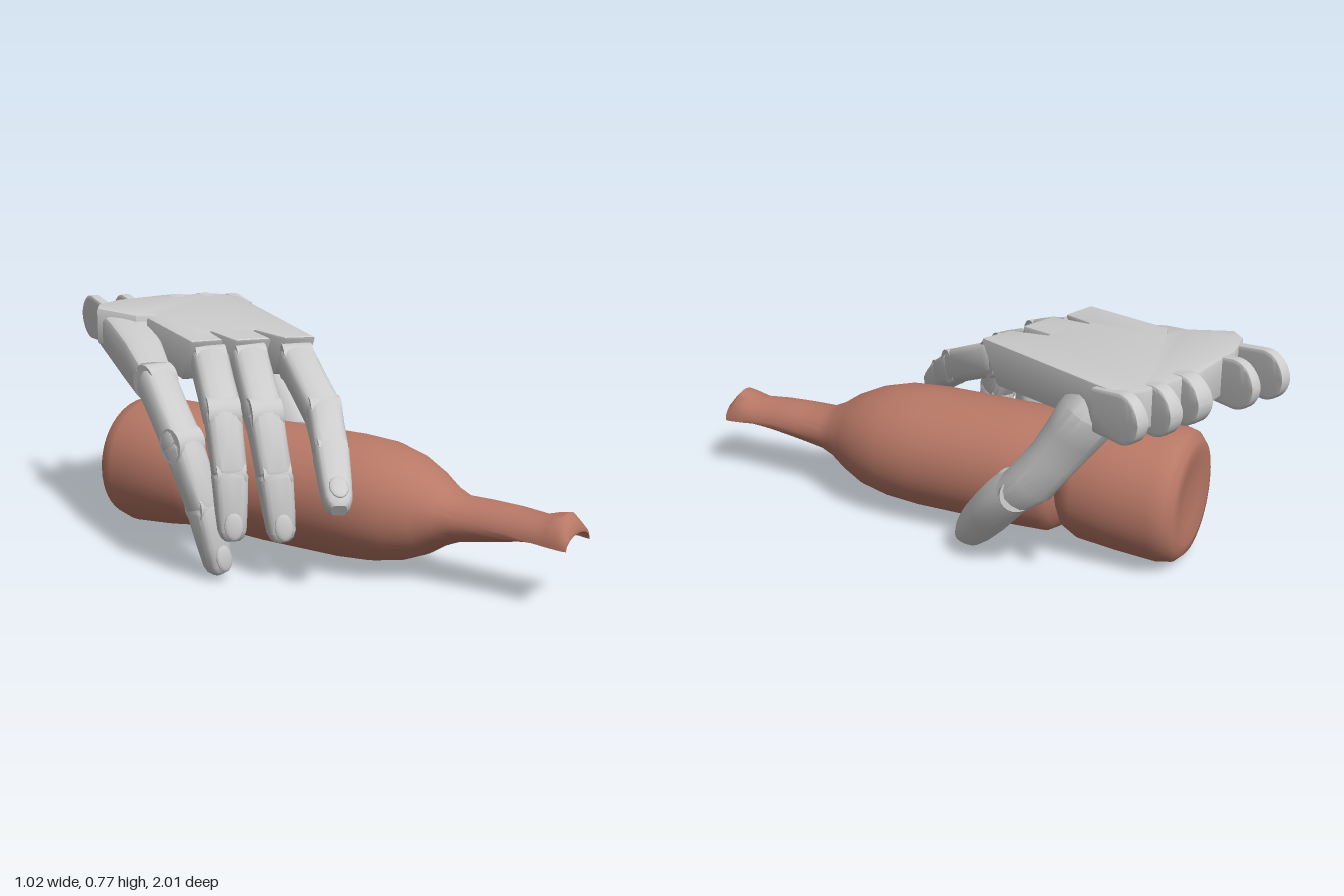
import * as THREE from 'three';
import { toCreasedNormals } from 'three/addons/utils/BufferGeometryUtils.js';

const V = (x, y, z) => new THREE.Vector3(x, y, z);
const grey = new THREE.MeshStandardMaterial({ color: 0xcccccc });
const clay = new THREE.MeshStandardMaterial({ color: 0xb87866 });
const ACROSS = V(0.9, 0, 0.43).normalize();
const FORWARD = V(-0.43, -0.07, 0.9).normalize();

function add(parent, name, geometry, material = grey) {
  const mesh = new THREE.Mesh(geometry, material);
  mesh.name = name;
  parent.add(mesh);
  return mesh;
}

// Skin over cross-sections [x, y, z, halfWidth, halfHeight, lowerHalfScale].
// "power" shapes the section: 1 is an ellipse, near 0 a box.
// Sections stand square to the path, or to a fixed axis when one is given.
function loft(sections, side, { n = 16, power = 0.6, crease = 0.6, axis } = {}) {
  const pos = [], index = [];
  const centres = sections.map(s => V(s[0], s[1], s[2]));
  const last = sections.length - 1;
  const soft = v => Math.sign(v) * Math.abs(v) ** power;
  sections.forEach(([, , , w, h, low = 1], j) => {
    const t = axis ?? centres[Math.min(j + 1, last)].clone().sub(centres[Math.max(j - 1, 0)]).normalize();
    const s = side.clone().addScaledVector(t, -side.dot(t)).normalize();
    const d = t.clone().cross(s);
    for (let i = 0; i < n; i++) {
      const a = (i / n) * Math.PI * 2;
      const up = soft(Math.sin(a)) * h * (i > n / 2 ? low : 1);
      pos.push(...centres[j].clone().addScaledVector(s, soft(Math.cos(a)) * w).addScaledVector(d, up).toArray());
      if (j < last) {
        const k = (i + 1) % n, p = j * n, q = p + n;
        index.push(p + i, p + k, q + k, p + i, q + k, q + i);
      }
    }
  });
  // Flat end caps, made of strips between upper and lower halves
  for (let i = 0; i < n / 2; i++) {
    const a = i, b = i + 1, c = n - i - 1, d = (n - i) % n, o = last * n;
    index.push(o + a, o + b, o + c, o + a, o + c, o + d, c, b, a, d, c, a);
  }
  const g = new THREE.BufferGeometry();
  g.setAttribute('position', new THREE.Float32BufferAttribute(pos, 3));
  g.setIndex(index);
  return toCreasedNormals(g, crease);
}

// One finger bone from a to b, with softened ends and an optional rounded tip
function bone(a, b, w0, h0, w1, h1, side, tip = false) {
  const stops = tip
    ? [[-0.06, 0.85], [0.03, 1], [0.55, 1], [0.85, 0.96], [0.95, 0.8], [1, 0.55]]
    : [[-0.07, 0.85], [0.02, 1], [0.5, 0.98], [0.98, 1], [1.07, 0.85]];
  return loft(stops.map(([t, k]) => {
    const p = a.clone().lerp(b, t);
    return [p.x, p.y, p.z, k * (w0 + (w1 - w0) * t), k * (h0 + (h1 - h0) * t)];
  }), side);
}

function hinge(parent, name, p, side, radius, width) {
  const pin = add(parent, name, new THREE.CylinderGeometry(radius, radius, width, 20));
  pin.position.copy(p);
  pin.quaternion.setFromUnitVectors(V(0, 1, 0), side);
}

function nail(parent, a, b, side) {
  const t = b.clone().sub(a).normalize();
  const d = t.clone().cross(side).normalize();
  const s = d.clone().cross(t);
  const mesh = add(parent, 'nail', new THREE.SphereGeometry(1, 14, 8));
  mesh.scale.set(0.03, 0.01, 0.045);
  mesh.quaternion.setFromRotationMatrix(new THREE.Matrix4().makeBasis(s, d, t));
  mesh.position.copy(a).lerp(b, 0.76).addScaledVector(d, 0.042);
}

function finger(name, joints, size) {
  const group = new THREE.Group();
  group.name = name;
  const [k, p, d, t] = joints.map(j => V(...j));
  const side = V(t.z - k.z, 0, k.x - t.x).normalize();
  add(group, 'proximal', bone(k, p, 0.062 * size, 0.06 * size, 0.06 * size, 0.058 * size, side));
  add(group, 'middleBone', bone(p, d, 0.058 * size, 0.058 * size, 0.054 * size, 0.052 * size, side));
  add(group, 'fingertip', bone(d, t, 0.056 * size, 0.053 * size, 0.044 * size, 0.04 * size, side, true));
  hinge(group, 'knuckle', k, side, 0.06 * size, 0.1 * size);
  hinge(group, 'middleHinge', p, side, 0.057 * size, 0.1 * size);
  hinge(group, 'endHinge', d, side, 0.048 * size, 0.09 * size);
  nail(group, d, t, side);
  return group;
}

const palmTop = z => 0.7 - 0.08 * (z + 0.05);

function buildPalm(hand) {
  // Sloping slab with slits between the knuckles
  const outline = [
    [-0.13, -0.78], [-0.08, -0.82], [0.03, -0.83], [0.22, -0.79], [0.4, -0.69], [0.445, -0.63],
    [0.11, -0.05], [0.03, -0.1], [0.045, -0.24], [0.02, -0.24], [-0.03, -0.13], [-0.13, -0.18],
    [-0.09, -0.32], [-0.11, -0.32], [-0.17, -0.22], [-0.26, -0.26], [-0.11, -0.57], [-0.05, -0.59], [-0.11, -0.63],
  ];
  const shape = new THREE.Shape(outline.map(([x, z]) => new THREE.Vector2(x, -z)));
  const g = new THREE.ExtrudeGeometry(shape, {
    depth: 0.11, bevelEnabled: true, bevelSize: 0.008, bevelThickness: 0.008, bevelSegments: 2,
  });
  g.rotateX(-Math.PI / 2);
  // Deepen the slab towards the knuckles and set its underside back there
  const p = g.attributes.position;
  for (let i = 0; i < p.count; i++) {
    const x = p.getX(i), z = p.getZ(i), depth = 0.118 - p.getY(i);
    const front = THREE.MathUtils.clamp((z + 0.6) / 0.35, 0, 1);
    const back = front * depth * 0.65;
    p.setXYZ(i, x - FORWARD.x * back, palmTop(z) - depth * (1 + 0.12 * front), z - FORWARD.z * back);
  }
  add(hand, 'palm', toCreasedNormals(g, 0.5));

  // Round-ended wrist lugs: [x, z, halfWidth]
  const lugs = [[0.01, -0.93, 0.018], [0.11, -0.87, 0.018], [0.26, -0.765, 0.03], [0.365, -0.715, 0.025], [0.45, -0.645, 0.022]];
  for (const [x, z, w] of lugs) {
    const c = V(x, palmTop(z) - 0.075, z);
    const sections = [];
    for (let i = 0; i <= 10; i++) {
      const a = (i / 10) * Math.PI / 2;
      const q = c.clone().addScaledVector(FORWARD, -0.078 * Math.cos(a));
      sections.push([q.x, q.y, q.z, w, Math.max(0.004, 0.078 * Math.sin(a))]);
    }
    const e = c.clone().addScaledVector(FORWARD, 0.11);
    sections.push([e.x, e.y, e.z, w, 0.068]);
    add(hand, 'wristLug', loft(sections, ACROSS, { power: 0.2 }));
  }

  // Outer palm block that carries the little finger
  add(hand, 'outerPalm', loft([
    [-0.05, 0.675, -0.77, 0.068, 0.065], [-0.1, 0.66, -0.68, 0.075, 0.073],
    [-0.22, 0.62, -0.51, 0.068, 0.073], [-0.32, 0.585, -0.38, 0.057, 0.062],
  ], V(0.82, 0, 0.57), { power: 0.4 }));
}

function buildThumb() {
  const thumb = new THREE.Group();
  thumb.name = 'thumb';
  const side = V(0.72, 0.12, -0.5).normalize();
  add(thumb, 'thumbBase', loft([
    [0.3, 0.67, -0.52, 0.065, 0.065], [0.308, 0.61, -0.49, 0.095, 0.09], [0.322, 0.53, -0.44, 0.078, 0.082],
    [0.328, 0.44, -0.38, 0.062, 0.075], [0.337, 0.36, -0.32, 0.07, 0.075], [0.32, 0.28, -0.235, 0.06, 0.062],
  ], side, { power: 0.75 }));
  add(thumb, 'thumbTip', loft([
    [0.33, 0.32, -0.27, 0.06, 0.058], [0.31, 0.265, -0.215, 0.071, 0.068], [0.272, 0.19, -0.15, 0.072, 0.066],
    [0.236, 0.115, -0.085, 0.066, 0.06], [0.218, 0.07, -0.045, 0.056, 0.05], [0.21, 0.045, -0.02, 0.036, 0.032],
  ], side, { power: 0.75 }));
  hinge(thumb, 'thumbHinge', V(0.322, 0.305, -0.25), side, 0.056, 0.11);
  return thumb;
}

export function createModel() {
  const model = new THREE.Group();

  // Bottle lying along z, pinched near its base, neck ending in an open crescent
  const bottle = [ // z, centre x, centre y, half width, half height, lower scale
    [-0.704, -0.02, 0.22, 0.03, 0.03], [-0.708, -0.02, 0.22, 0.1, 0.1], [-0.72, -0.02, 0.22, 0.155, 0.15],
    [-0.715, -0.02, 0.22, 0.19, 0.185], [-0.69, -0.022, 0.22, 0.218, 0.21], [-0.64, -0.025, 0.22, 0.23, 0.22],
    [-0.5, -0.024, 0.225, 0.227, 0.215], [-0.38, -0.022, 0.23, 0.222, 0.205], [-0.335, -0.02, 0.23, 0.205, 0.19, 0.93],
    [-0.312, -0.02, 0.23, 0.17, 0.17, 0.85], [-0.295, -0.02, 0.23, 0.205, 0.188, 0.96], [-0.26, -0.02, 0.225, 0.218, 0.197],
    [-0.1, -0.02, 0.222, 0.222, 0.2], [0.2, -0.02, 0.222, 0.224, 0.2], [0.32, -0.02, 0.222, 0.216, 0.192],
    [0.42, -0.02, 0.218, 0.188, 0.17], [0.5, -0.02, 0.215, 0.145, 0.135], [0.56, -0.02, 0.213, 0.11, 0.095],
    [0.61, -0.02, 0.212, 0.094, 0.073], [0.7, -0.02, 0.212, 0.09, 0.073, 0.75], [0.8, -0.02, 0.208, 0.084, 0.074, 0.4],
    [0.89, -0.02, 0.203, 0.08, 0.07, 0], [0.93, -0.02, 0.2, 0.083, 0.085, -0.35], [0.965, -0.02, 0.198, 0.084, 0.094, -0.5],
    [0.985, -0.02, 0.196, 0.082, 0.075, -0.6], [1, -0.02, 0.196, 0.08, 0.055, -0.7],
  ].map(([z, x, y, ...size]) => [x, y, z, ...size]);
  add(model, 'bottle', loft(bottle, V(1, 0, 0), { n: 48, power: 0.97, crease: 0.9, axis: V(0, 0, 1) }), clay);

  const hand = new THREE.Group();
  hand.name = 'hand';
  model.add(hand);
  buildPalm(hand);
  hand.add(
    finger('indexFinger', [[0.06, 0.62, -0.08], [-0.1, 0.5, 0.14], [-0.22, 0.41, 0.25], [-0.375, 0.285, 0.385]], 1),
    finger('middleFinger', [[-0.08, 0.632, -0.17], [-0.285, 0.515, 0.04], [-0.32, 0.34, 0.105], [-0.32, 0.13, 0.135]], 1),
    finger('ringFinger', [[-0.2, 0.636, -0.24], [-0.405, 0.53, -0.03], [-0.45, 0.36, 0.03], [-0.465, 0.155, 0.05]], 1),
    finger('littleFinger', [[-0.33, 0.585, -0.36], [-0.455, 0.43, -0.15], [-0.45, 0.24, -0.07], [-0.415, 0.02, -0.04]], 0.97),
    buildThumb(),
  );
  return model;
}
